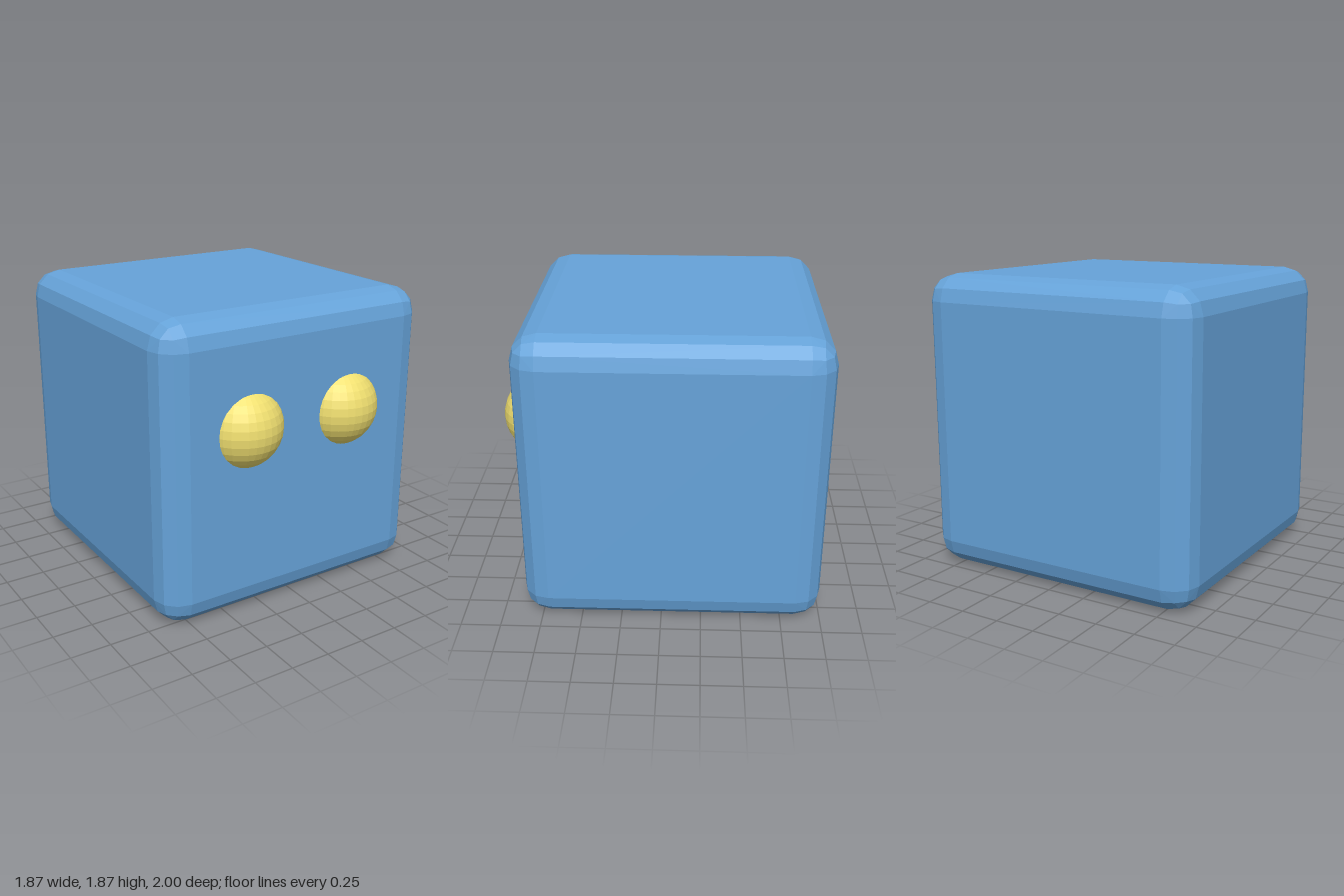
import * as THREE from 'three';
import { ConvexGeometry } from 'three/addons/geometries/ConvexGeometry.js';

// Cube with edges bevelled in three flat steps, as the hull of its corner points
function bevelledCube(half, radius) {
  const c = Math.cos(Math.PI / 6), s = 0.5, m = 0.77, n = 0.451;
  const octant = [
    [1, 0, 0], [0, 1, 0], [0, 0, 1],
    [c, s, 0], [s, c, 0], [0, c, s], [0, s, c], [c, 0, s], [s, 0, c],
    [m, n, n], [n, m, n], [n, n, m],
  ];
  const points = [];
  for (const sx of [-1, 1]) for (const sy of [-1, 1]) for (const sz of [-1, 1]) {
    for (const [x, y, z] of octant) {
      points.push(new THREE.Vector3(x, y, z).multiplyScalar(radius)
        .addScalar(half - radius).multiply(new THREE.Vector3(sx, sy, sz)));
    }
  }
  return new ConvexGeometry(points);
}

export function createModel() {
  const model = new THREE.Group();
  model.name = 'cubeCreature';
  const blue = new THREE.MeshStandardMaterial({ color: 0x66a3d9, flatShading: true });
  const yellow = new THREE.MeshStandardMaterial({ color: 0xf0df70, flatShading: true });

  // Body
  const half = 0.933;
  const body = new THREE.Mesh(bevelledCube(half, 0.166), blue);
  body.name = 'body';
  body.position.set(0, half, half - 1);
  model.add(body);

  // Eyes, sunk into the front face
  const eyeRadius = 0.255;
  const eyeGeometry = new THREE.SphereGeometry(eyeRadius, 32, 16);
  for (const side of [-1, 1]) {
    const eye = new THREE.Mesh(eyeGeometry, yellow);
    eye.name = side > 0 ? 'leftEye' : 'rightEye';
    eye.position.set(side * 0.355, 1.172, 1 - eyeRadius);
    model.add(eye);
  }
  return model;
}
